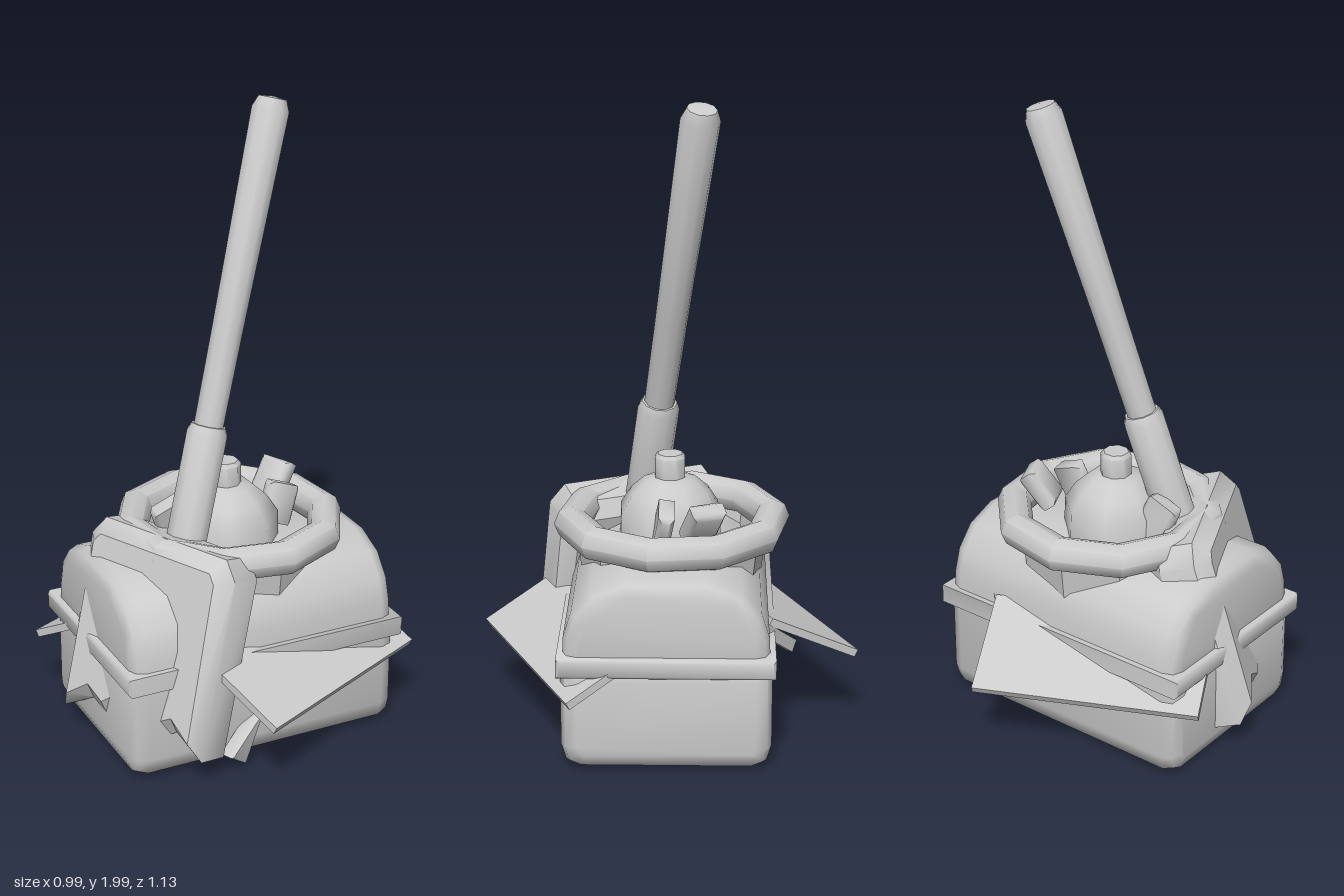
import * as THREE from 'three';
import { toCreasedNormals } from 'three/addons/utils/BufferGeometryUtils.js';

const material = new THREE.MeshStandardMaterial({ color: 0xcccccc });
const thin = new THREE.MeshStandardMaterial({ color: 0xcccccc, side: THREE.DoubleSide });

function add(parent, name, geometry, crease = 0.8, mat = material) {
  const mesh = new THREE.Mesh(toCreasedNormals(geometry, crease), mat);
  mesh.name = name;
  parent.add(mesh);
  return mesh;
}

// Bevelled prism whose outline is its final size, centred along z
function prism(points, depth, bevel, segments = 1) {
  const g = new THREE.ExtrudeGeometry(new THREE.Shape(points.map(([x, y]) => new THREE.Vector2(x, y))), {
    depth: depth - 2 * bevel, bevelThickness: bevel, bevelSize: bevel, bevelOffset: -bevel, bevelSegments: segments,
  });
  return g.translate(0, 0, -(depth - 2 * bevel) / 2);
}

// Closed outline from its right half, listed from bottom to top
function mirrored(half) {
  return [...half, ...half.slice().reverse().map(([x, y]) => [-x, y])];
}

// Lathe with few sides, from [radius, height] pairs
function turned(points, sides) {
  return new THREE.LatheGeometry(points.map(([r, y]) => new THREE.Vector2(r, y)), sides);
}

export function createModel() {
  const model = new THREE.Group();

  // Chest with domed lid, turned on the vertical axis
  const chest = new THREE.Group();
  chest.name = 'chest';
  chest.rotation.y = -25 * Math.PI / 180;
  model.add(chest);
  add(chest, 'chestBase', prism(mirrored([[0.26, 0], [0.305, 0.02], [0.32, 0.07], [0.32, 0.34]]), 0.91, 0.05, 2), 1);
  add(chest, 'chestLid', prism(mirrored([
    [0.315, 0.3], [0.31, 0.42], [0.285, 0.5], [0.225, 0.57], [0.12, 0.61],
  ]), 0.9, 0.045, 2), 1);
  add(chest, 'chestRim', prism([[-0.33, 0.31], [0.33, 0.31], [0.33, 0.372], [-0.33, 0.372]], 0.945, 0.008));

  // Ten-sided ring and the bowl under it
  const ring = add(model, 'ring', new THREE.TorusGeometry(0.315, 0.055, 8, 10).rotateX(Math.PI / 2).rotateY(Math.PI / 2));
  ring.position.set(0, 0.655, -0.027);
  const bowl = add(model, 'bowl', turned([[0.18, 0.4], [0.28, 0.46], [0.3, 0.63]], 10), 0.5, thin);
  bowl.position.z = -0.027;

  // Low dome with a knob
  const dome = add(model, 'dome', turned([
    [0.17, 0.58], [0.165, 0.69], [0.13, 0.745], [0.085, 0.785], [0.05, 0.795], [0.05, 0.858], [0.04, 0.87], [0, 0.87],
  ], 8), 0.9);
  dome.position.z = -0.01;

  // Small blocks around the dome
  [[0, 0.725, -0.255, 0.11, 0, -0.65], [0.09, 0.7, -0.165, 0.05, -0.4, -0.4], [-0.09, 0.7, 0.145, 0.05, -0.4, 0.4]]
    .forEach(([x, y, z, w, ry, rx]) => {
      const h = w / 2;
      const block = add(model, 'block', prism([[-h, -0.07], [h, -0.07], [h, 0.06], [-h, 0.06]], w > 0.1 ? 0.06 : 0.11, 0.012));
      block.position.set(x, y, z);
      block.rotation.set(rx, ry, 0);
    });

  // Leaning sleeve and long barrel
  const lean = new THREE.Group();
  lean.name = 'barrelAssembly';
  lean.position.set(0, 1, 0.075);
  lean.rotation.x = -0.308;
  model.add(lean);
  add(lean, 'sleeve', turned([[0, -0.38], [0.066, -0.38], [0.066, -0.01], [0.055, 0.015], [0, 0.015]], 10));
  add(lean, 'barrel', turned([[0, -0.1], [0.047, -0.1], [0.05, 0.3], [0.06, 0.99], [0.045, 1.025], [0, 1.03]], 10));

  // Sloping front panel with a notched lower edge
  const panel = add(model, 'frontPanel', prism([
    [-0.28, -0.6], [-0.17, -0.54], [-0.1, -0.58], [0, -0.5], [0.1, -0.58], [0.17, -0.54], [0.28, -0.6],
    [0.285, -0.03], [0.24, 0.03], [-0.24, 0.03], [-0.285, -0.03],
  ], 0.2, 0.045), 0.7);
  panel.position.set(0, 0.665, 0.235);
  panel.rotation.x = -0.275;

  // Parts on both sides
  for (const s of [1, -1]) {
    // Flat wing sloping down and outwards
    const wing = add(model, 'wing', new THREE.BoxGeometry(0.34, 0.025, 0.71));
    wing.position.set(s * 0.335, 0.325, 0);
    wing.rotation.z = -s * 0.48;

    // Narrow strip at the back of the wing
    const strip = add(model, 'wingStrip', new THREE.BoxGeometry(0.24, 0.04, 0.02));
    strip.position.set(s * 0.205, 0.35, -0.338);
    strip.rotation.set(0, -s * 0.51, -s * 0.6, 'YXZ');

    // Pointed tip at the foot of the panel
    const tip = add(model, 'panelTip', prism([[-0.32, 0.06], [-0.25, 0.01], [-0.16, 0.16]], 0.05, 0.005));
    tip.rotation.y = Math.PI / 2;
    tip.position.x = s * 0.27;
  }
  return model;
}
